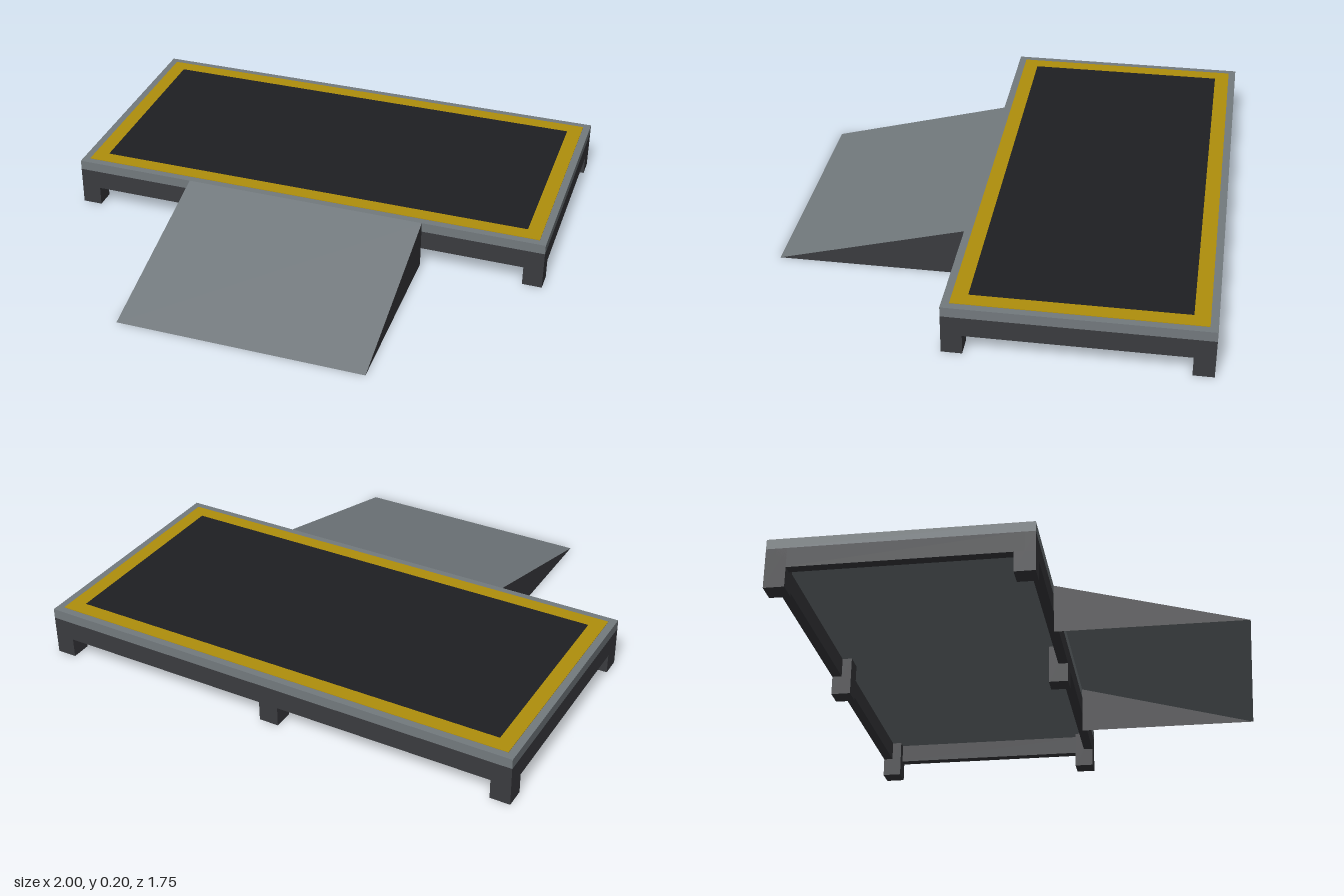
import * as THREE from 'three';

const mat = (color, extra = {}) => new THREE.MeshStandardMaterial({ color, ...extra });

export function createModel() {
  const group = new THREE.Group();
  const grey = mat(0x737a7e), dark = mat(0x3a3b3f), yellow = mat(0xb08f0c), black = mat(0x1e1f23);
  const greyThin = mat(0x737a7e, { side: THREE.DoubleSide });
  const darkThin = mat(0x3a3b3f, { side: THREE.DoubleSide });
  const back = -0.875, front = 0.125, midZ = (back + front) / 2;

  const add = (name, geometry, material) => {
    const mesh = new THREE.Mesh(geometry, material);
    mesh.name = name;
    group.add(mesh);
    return mesh;
  };
  const box = (name, material, w, h, d, x, y, z) =>
    add(name, new THREE.BoxGeometry(w, h, d), material).position.set(x, y, z);

  // Deck slab with dark floor pad
  box('deck', grey, 2, 0.04, 1, 0, 0.18, midZ);
  box('floorPad', black, 1.82, 0.003, 0.82, 0, 0.2005, midZ);

  // Painted border: rectangle with a rectangular hole
  const rect = (path, w, d) => {
    path.moveTo(-w / 2, -d / 2).lineTo(w / 2, -d / 2).lineTo(w / 2, d / 2).lineTo(-w / 2, d / 2).closePath();
    return path;
  };
  const borderShape = rect(new THREE.Shape(), 1.94, 0.94);
  borderShape.holes.push(rect(new THREE.Path(), 1.82, 0.82));
  const border = new THREE.ExtrudeGeometry(borderShape, { depth: 0.003, bevelEnabled: false });
  border.rotateX(-Math.PI / 2).translate(0, 0.199, midZ);
  add('safetyBorder', border, yellow);

  // Perimeter beams under the deck
  const t = 0.04;
  for (const s of [-1, 1]) {
    box('longBeam', dark, 2, 0.08, t, 0, 0.12, midZ + s * (0.5 - t / 2));
    box('endBeam', dark, t, 0.08, 1 - 2 * t, s * (1 - t / 2), 0.12, midZ);
  }

  // Six square legs
  for (const x of [-0.96, 0, 0.96])
    for (const s of [-1, 1]) box('leg', dark, 0.08, 0.16, 0.08, x, 0.08, midZ + s * 0.46);

  // Access ramp: sloped sheet with triangular side panels, open underneath
  const foot = 0.875, run = foot - front, rise = 0.2;
  const sheet = new THREE.PlaneGeometry(1, Math.hypot(run, rise));
  sheet.rotateX(-Math.atan2(run, rise)).translate(0, rise / 2, (front + foot) / 2);
  add('rampSurface', sheet, greyThin);

  const side = new THREE.Shape();
  side.moveTo(-front, 0).lineTo(-front, rise).lineTo(-foot, 0).closePath();
  for (const x of [-0.5, 0.5]) {
    const panel = new THREE.ShapeGeometry(side);
    panel.rotateY(Math.PI / 2).translate(x, 0, 0);
    add('rampSide', panel, darkThin);
  }
  return group;
}
